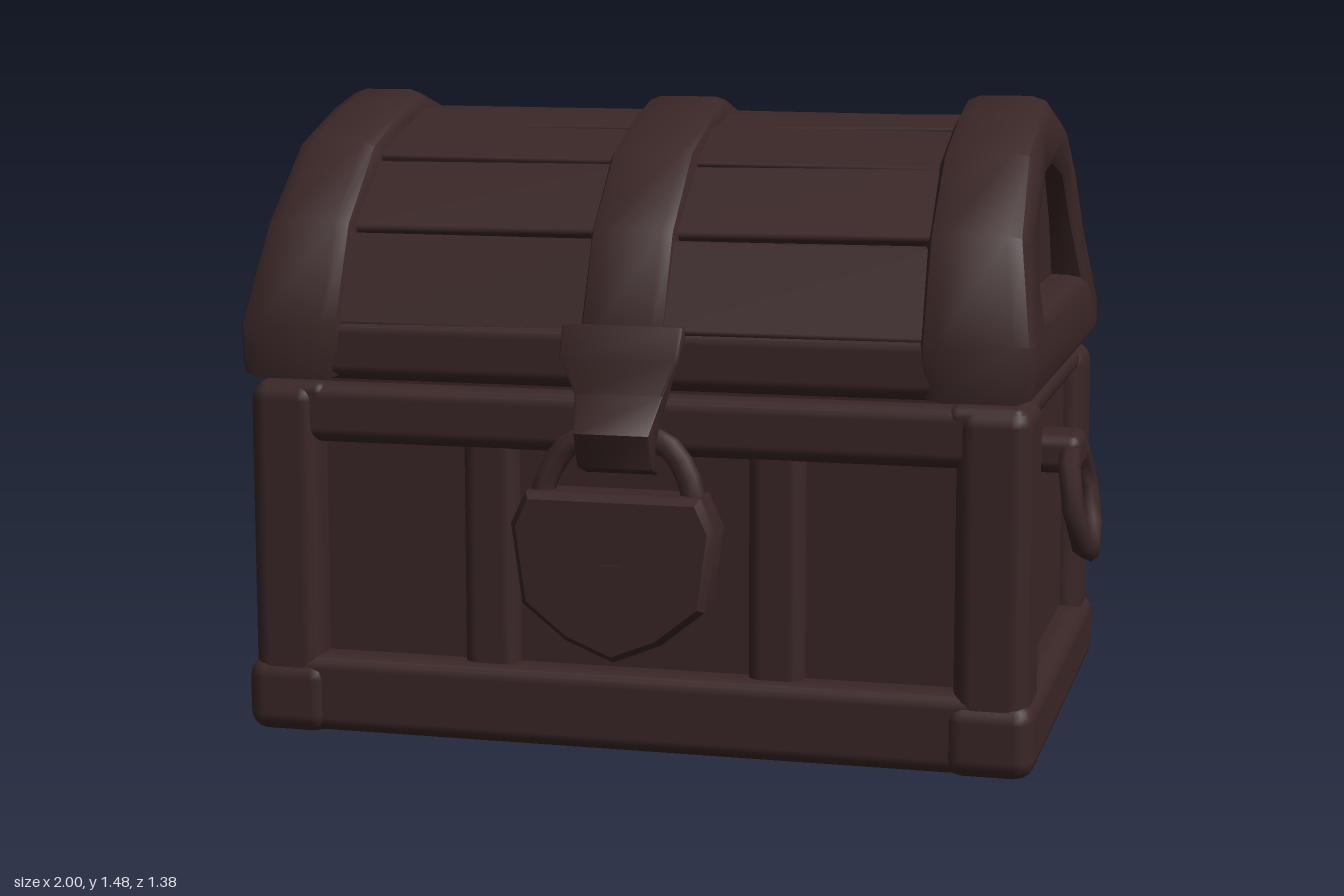
import * as THREE from 'three';
import { toCreasedNormals } from 'three/addons/utils/BufferGeometryUtils.js';
import { RoundedBoxGeometry } from 'three/addons/geometries/RoundedBoxGeometry.js';

const wood = new THREE.MeshStandardMaterial({ color: 0x3a2626 });
wood.name = 'darkWood';

// arch outline and end opening as [z, y]
const ARCH = [[0.56, 0.842], [0.58, 0.97], [0.48, 1.2], [0.3, 1.37], [0.1, 1.445], [-0.04, 1.48],
  [-0.33, 1.41], [-0.48, 1.3], [-0.6, 1.14], [-0.695, 0.94], [-0.68, 0.842]];
const OPENING = [[-0.46, 1.02], [-0.39, 1.16], [-0.29, 1.27], [-0.1, 1.31], [0.1, 1.29],
  [0.24, 1.2], [0.32, 1.08], [0.34, 1.02]];

export function createModel() {
  const chest = new THREE.Group();
  chest.name = 'chest';

  function add(name, geometry, parent = chest) {
    const mesh = new THREE.Mesh(geometry, wood);
    mesh.name = name;
    parent.add(mesh);
    return mesh;
  }

  // soft-edged beam given by its minimum and maximum corners
  function beam(name, x0, x1, y0, y1, z0, z1, r = 0.035) {
    const w = x1 - x0, h = y1 - y0, d = z1 - z0;
    const g = new RoundedBoxGeometry(w, h, d, 2, Math.min(r, w * 0.45, h * 0.45, d * 0.45));
    return add(name, g.translate((x0 + x1) / 2, (y0 + y1) / 2, (z0 + z1) / 2));
  }

  // side profile [z, y] extruded across x, with an optional hole and a rule giving the new x
  function profile(name, pts, x0, x1, bevel, hole, rule) {
    const toV = ([z, y]) => new THREE.Vector2(-z, y);
    const shape = new THREE.Shape(pts.map(toV));
    if (hole) shape.holes.push(new THREE.Path(hole.map(toV)));
    const g = new THREE.ExtrudeGeometry(shape, {
      depth: x1 - x0 - 2 * bevel, bevelEnabled: bevel > 0, bevelThickness: bevel,
      bevelSize: bevel * 0.8, bevelOffset: -bevel * 0.8, bevelSegments: 2,
    });
    g.rotateY(Math.PI / 2).translate(x0 + bevel, 0, 0);
    if (rule) {
      const p = g.attributes.position;
      for (let i = 0; i < p.count; i++) p.setX(i, rule(p.getX(i), p.getY(i)));
    }
    return add(name, toCreasedNormals(g, 0.75));
  }

  // lower box: shallow recessed panels, and the inset lip under the lid
  beam('basePanels', -0.86, 0.86, 0.045, 0.82, -0.61, 0.475, 0.01);
  beam('lidSeat', -0.84, 0.84, 0.8, 0.87, -0.6, 0.49, 0.01);

  // lower box: frame rails, posts and end rails
  beam('frontBottomRail', -0.9, 0.9, 0.005, 0.19, 0.4, 0.545);
  beam('backBottomRail', -0.9, 0.9, 0.005, 0.17, -0.67, -0.53);
  beam('frontTopRail', -0.89, 0.89, 0.69, 0.83, 0.4, 0.535);
  beam('backTopRail', -0.89, 0.89, 0.76, 0.83, -0.65, -0.53);
  for (const s of [-1, 1]) {
    const side = (name, a, b, ...rest) => beam(name, Math.min(s * a, s * b), Math.max(s * a, s * b), ...rest);
    side('endBottomRail', 0.72, 0.925, 0, 0.175, -0.67, 0.555, 0.045);
    side('endTopRail', 0.72, 0.895, 0.775, 0.832, -0.65, 0.535);
    side('frontPost', 0.74, 0.91, 0.01, 0.832, 0.33, 0.545, 0.045);
    side('backPost', 0.74, 0.91, 0.01, 0.832, -0.66, -0.47, 0.045);
    // upright straps on both faces and the strap under the floor
    side('frontStrap', 0.27, 0.4, 0.05, 0.76, 0.42, 0.515);
    side('backStrap', 0.27, 0.41, 0.03, 0.81, -0.65, -0.56, 0.03);
    side('floorStrap', 0.27, 0.4, 0.01, 0.1, -0.62, 0.5, 0.03);
    // hinges
    side('hinge', 0.43, 0.66, 0.775, 0.855, -0.7, -0.62, 0.03);
  }

  // lid: barrel of planks, each pitched slightly off the curve
  const inner = ARCH.map(([z, y]) => [-0.055 + (z + 0.055) * 0.945, 0.86 + (y - 0.86) * 0.9]);
  profile('lidBarrel', inner, -0.825, 0.825, 0);
  for (const s of [-1, 1]) {
    for (let i = 1; i < inner.length - 2; i++) {
      const [za, ya] = inner[i], [zb, yb] = inner[i + 1];
      const length = Math.hypot(zb - za, yb - ya);
      const plank = add('lidPlank', new RoundedBoxGeometry(0.62, 0.03, length * 0.98, 1, 0.01));
      plank.position.set(s * 0.38, (ya + yb) / 2 + 0.004, (za + zb) / 2);
      const wobble = 0.05 * Math.sin(i * 2.3 + s);
      plank.rotation.set(Math.atan2(ya - yb, zb - za) + Math.PI + wobble, 0, 0.015 * Math.cos(i * 3.1 + s));
    }
  }

  // lid: end frames whose outer face leans in toward the top, centre strap and rails
  const lean = (x, y) => {
    const outer = THREE.MathUtils.smoothstep(Math.abs(x), 0.68, 0.88);
    return x - Math.sign(x) * outer * (0.03 * THREE.MathUtils.smoothstep(y, 0.92, 1.15) + 0.06 * Math.max(0, y - 1.1));
  };
  profile('rightLidFrame', ARCH, -0.92, -0.665, 0.045, OPENING, lean);
  profile('leftLidFrame', ARCH, 0.66, 0.92, 0.045, OPENING, lean);
  const strap = ARCH.map(([z, y]) => [-0.05 + (z + 0.05) * 0.99, 0.845 + (y - 0.845) * 0.985]);
  profile('lidCentreStrap', strap, -0.105, 0.1, 0.035);
  beam('lidFrontRail', -0.89, 0.89, 0.842, 0.985, 0.44, 0.56);
  beam('lidBackRail', -0.89, 0.89, 0.842, 0.97, -0.675, -0.56);

  // clasp hanging over the front edge
  const CLASP = [[0.52, 0.99], [0.57, 0.99], [0.605, 0.92], [0.605, 0.84], [0.67, 0.76], [0.64, 0.68],
    [0.58, 0.66], [0.6, 0.74], [0.55, 0.83]];
  profile('clasp', CLASP, -0.14, 0.14, 0.01, null,
    (x, y) => x * (0.62 + 0.38 * THREE.MathUtils.smoothstep(y, 0.78, 0.94)));

  // padlock body
  const outline = [[-0.2, 0.625], [0.2, 0.625], [0.235, 0.55], [0.21, 0.37], [0.11, 0.29],
    [0, 0.245], [-0.11, 0.29], [-0.21, 0.37], [-0.235, 0.55]];
  const lock = new THREE.ExtrudeGeometry(new THREE.Shape(outline.map((p) => new THREE.Vector2(...p))), {
    depth: 0.08, bevelThickness: 0.02, bevelSize: 0.015, bevelOffset: -0.015, bevelSegments: 1,
  });
  add('padlock', toCreasedNormals(lock.translate(0, 0, 0.575), 0.6));
  // keyhole plate
  const key = new THREE.Shape([[-0.025, 0.47], [0, 0.38], [0.025, 0.47]].map((p) => new THREE.Vector2(...p)));
  add('keyhole', new THREE.ExtrudeGeometry(key, { depth: 0.006, bevelEnabled: false }).translate(0, 0, 0.674));
  // shackle
  const path = new THREE.CatmullRomCurve3([[-0.18, 0.58, 0.62], [-0.165, 0.65, 0.61], [-0.11, 0.73, 0.6],
    [0, 0.75, 0.59], [0.11, 0.73, 0.6], [0.165, 0.65, 0.61], [0.18, 0.58, 0.62]].map((p) => new THREE.Vector3(...p)));
  add('shackle', new THREE.TubeGeometry(path, 14, 0.028, 7));

  // end handles: tilted ring and its bracket
  for (const s of [-1, 1]) {
    const handle = new THREE.Group();
    handle.name = s > 0 ? 'leftHandle' : 'rightHandle';
    handle.position.set(s * 0.952, 0.535, -0.06);
    handle.rotation.z = s * 0.18;
    chest.add(handle);
    const ring = new THREE.TorusGeometry(0.163, 0.041, 7, 8).scale(1, 0.78, 0.65).rotateY(Math.PI / 2);
    add('handleRing', ring, handle);
    const bracket = add('handleBracket', new RoundedBoxGeometry(0.14, 0.095, 0.15, 2, 0.03));
    bracket.position.set(s * 0.89, 0.645, -0.06);
  }
  return chest;
}
